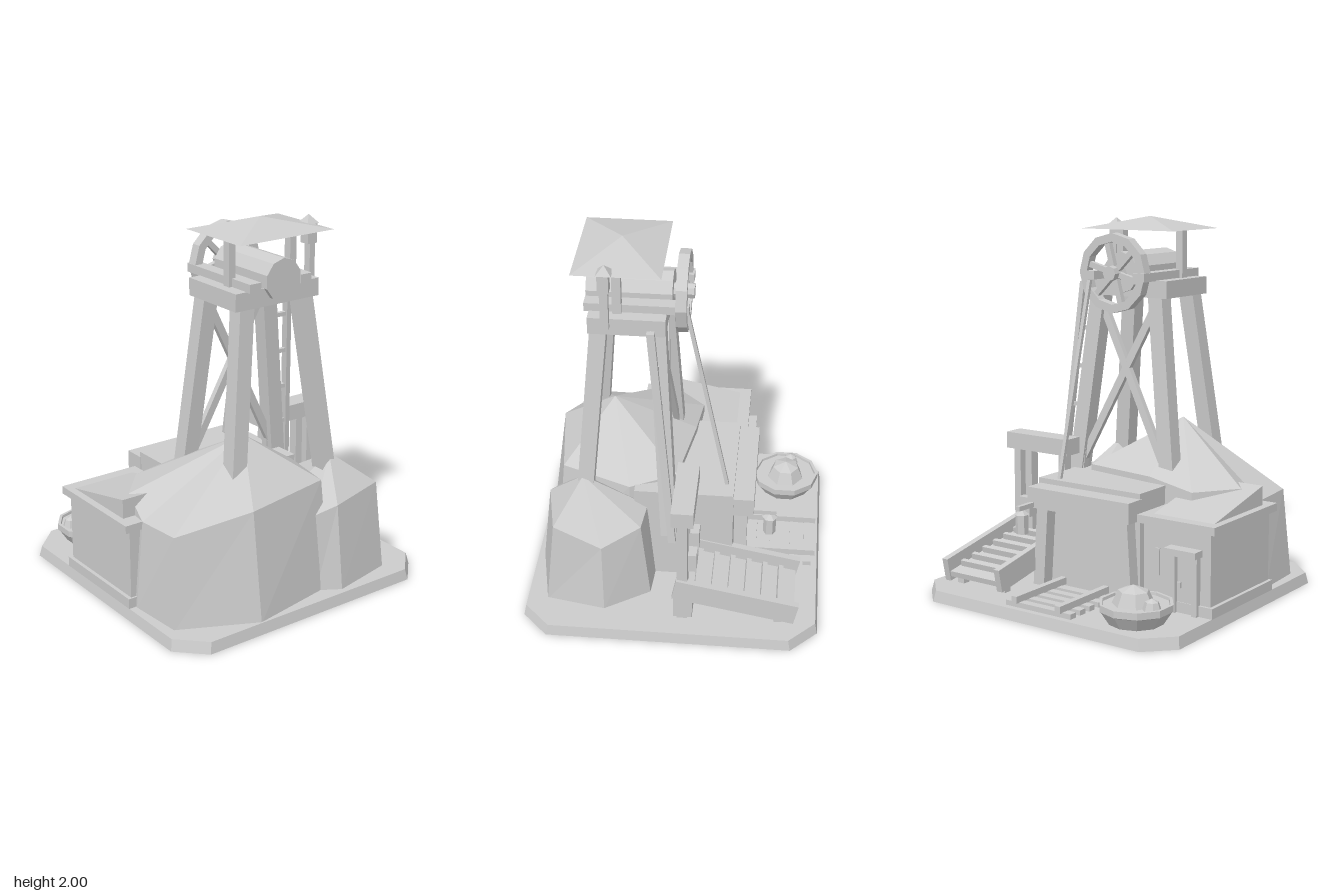
import * as THREE from 'three';

const stone = new THREE.MeshStandardMaterial({ color: 0xcccccc, flatShading: true });
stone.name = 'pale grey';

export function createModel() {
  const root = new THREE.Group();
  root.name = 'mineHeadframe';
  let parent = root;
  const group = (name) => {
    parent = new THREE.Group();
    parent.name = name;
    root.add(parent);
  };
  const add = (name, geo, x = 0, y = 0, z = 0) => {
    const m = new THREE.Mesh(geo, stone);
    m.name = name;
    m.position.set(x, y, z);
    parent.add(m);
    return m;
  };
  // box given by its limits on each axis
  const box = (name, x0, x1, y0, y1, z0, z1) =>
    add(name, new THREE.BoxGeometry(x1 - x0, y1 - y0, z1 - z0), (x0 + x1) / 2, (y0 + y1) / 2, (z0 + z1) / 2);
  // bar between two points; d is measured towards the up direction
  const bar = (name, a, b, w, d = w, up = [0, 1, 0]) => {
    const p = new THREE.Vector3(...a), q = new THREE.Vector3(...b);
    const m = add(name, new THREE.BoxGeometry(w, d, p.distanceTo(q)));
    m.position.copy(p).lerp(q, 0.5);
    m.up.set(...up);
    m.lookAt(q);
    return m;
  };
  // leaning post whose level ends stay square to the axes
  const strut = (name, top, foot, w, d = w) => {
    const g = new THREE.BoxGeometry(w, 2, d);
    const p = g.attributes.position;
    for (let i = 0; i < p.count; i++) {
      const e = p.getY(i) > 0 ? top : foot;
      p.setXYZ(i, p.getX(i) + e[0], e[1], p.getZ(i) + e[2]);
    }
    g.computeVertexNormals();
    return add(name, g);
  };
  // faceted block: bottom ring, upper ring and a peak
  const facetBlock = (name, bottom, ring, peak, floor) => {
    const pos = [];
    const c = [peak[0], floor, peak[2]];
    const n = ring.length;
    for (let i = 0; i < n; i++) {
      const j = (i + 1) % n;
      const b0 = [bottom[i][0], floor, bottom[i][1]], b1 = [bottom[j][0], floor, bottom[j][1]];
      pos.push(...b0, ...b1, ...ring[j], ...b0, ...ring[j], ...ring[i]);
      pos.push(...ring[i], ...ring[j], ...peak, ...b1, ...b0, ...c);
    }
    const g = new THREE.BufferGeometry();
    g.setAttribute('position', new THREE.Float32BufferAttribute(pos, 3));
    g.computeVertexNormals();
    return add(name, g);
  };

  // chamfered base slab
  const oct = (x, z, c) => [[-x, z - c], [-x + c, z], [x - c, z], [x, z - c], [x, c - z], [x - c, -z], [c - x, -z], [-x, c - z]];
  facetBlock('base', oct(0.8, 0.79, 0.14), oct(0.788, 0.778, 0.14).map(([x, z]) => [x, 0.06, z]), [0, 0.06, 0], 0);

  // rocks
  facetBlock('largeRock',
    [[-0.75, 0.27], [-0.73, 0.575], [-0.33, 0.772], [0.2, 0.675], [0.3, 0.25], [0.22, -0.02], [-0.23, -0.1], [-0.52, -0.12], [-0.72, 0.1]],
    [[-0.705, 0.53, 0.27], [-0.695, 0.54, 0.535], [-0.325, 0.637, 0.69], [0.17, 0.655, 0.62], [0.28, 0.62, 0.25], [0.2, 0.66, 0.0], [-0.23, 0.66, -0.07], [-0.505, 0.615, -0.09], [-0.68, 0.622, 0.11]],
    [-0.15, 0.905, 0.375], 0.05);
  facetBlock('smallRock',
    [[0.105, 0.675], [0.225, 0.748], [0.58, 0.672], [0.637, 0.355], [0.485, 0.12], [0.32, 0.11], [0.1, 0.4]],
    [[0.108, 0.478, 0.645], [0.225, 0.522, 0.692], [0.555, 0.545, 0.622], [0.592, 0.447, 0.365], [0.465, 0.5, 0.17], [0.3, 0.52, 0.15], [0.12, 0.5, 0.4]],
    [0.335, 0.725, 0.487], 0.05);

  // headframe legs, braces and platform
  group('headframe');
  const cx = 0.012;
  for (const s of [-1, 1]) {
    strut('frontLeg', [cx + s * 0.183, 1.62, 0.39], [cx + s * 0.315, 0.5, 0.49], 0.087, 0.085);
    strut('backLeg', [cx + s * 0.183, 1.62, 0.097], [cx + s * 0.329, 0.38, 0.03], 0.087, 0.085);
    bar('crossBrace', [cx - s * 0.19, 1.57, 0.09], [cx + s * 0.28, 0.66, 0.04], 0.042, 0.03, [0, 0, 1]);
    bar('drumBearer', [cx + s * 0.16, 1.697, 0.465], [cx + s * 0.16, 1.697, -0.06], 0.07, 0.045);
    box('roofPost', cx + s * 0.193 - 0.02, cx + s * 0.193 + 0.02, 1.67, 1.94, 0.275, 0.32);
  }
  box('platform', -0.25, 0.275, 1.585, 1.677, 0.05, 0.44);
  const roof = add('roof', new THREE.ConeGeometry(Math.SQRT1_2, 1, 4).rotateY(Math.PI / 4), 0.015, 1.967, 0.287);
  roof.scale.set(0.585, 0.066, 0.445);

  // winding drum and wheel
  group('windingGear');
  const wx = 0.028, wy = 1.712, wz = -0.022;
  add('drum', new THREE.CylinderGeometry(0.11, 0.11, 0.435, 10).rotateX(Math.PI / 2), wx, wy, 0.247);
  add('axle', new THREE.CylinderGeometry(0.04, 0.04, 0.16, 8).rotateX(Math.PI / 2), wx, wy, 0.005);
  const rim = [[0.165, -0.028], [0.21, -0.028], [0.21, 0.028], [0.165, 0.028], [0.165, -0.028]].map((p) => new THREE.Vector2(...p));
  add('wheelRim', new THREE.LatheGeometry(rim, 12).rotateX(Math.PI / 2), wx, wy, wz);
  for (let i = 0; i < 6; i++) {
    const a = (i * Math.PI) / 3 + 0.26;
    bar('spoke', [wx, wy, wz], [wx + Math.cos(a) * 0.175, wy + Math.sin(a) * 0.175, wz], 0.03, 0.03, [0, 0, 1]);
  }
  strut('rope', [0.172, 1.67, -0.05], [0.212, 0.6, -0.275], 0.02);

  // ladder beside the back leg
  group('ladder');
  const top = [0.335, 1.645, 0.118], foot = [0.424, 0.38, 0.008];
  const shift = (p, d) => [p[0] + d, p[1], p[2]];
  for (const d of [0, -0.13]) strut('ladderRail', shift(top, d), shift(foot, d), 0.028, 0.04);
  for (let i = 0; i < 6; i++) {
    const p = top.map((v, k) => v + (foot[k] - v) * (0.03 + i * 0.167));
    bar('rung', p, shift(p, -0.13), 0.022);
  }

  // lamp under the roof edge
  group('towerLamp');
  box('lampPole', 0.272, 0.305, 1.63, 1.85, 0.328, 0.37);
  box('lampBody', 0.25, 0.31, 1.84, 1.945, 0.322, 0.378);
  add('lampCap', new THREE.ConeGeometry(0.055, 0.045, 4).rotateY(Math.PI / 4), 0.28, 1.963, 0.345);

  // tunnel mouth
  group('tunnel');
  box('tunnelBody', -0.335, 0.32, 0.06, 0.628, -0.31, 0.22);
  box('lintel', -0.34, 0.31, 0.49, 0.6, -0.42, -0.3);
  for (const s of [-1, 1]) strut('portalPost', [-0.015 + s * 0.255, 0.5, -0.35], [-0.015 + s * 0.285, 0.06, -0.35], 0.07);
  box('lanternArm', 0.268, 0.292, 0.495, 0.52, -0.54, -0.4);
  add('lantern', new THREE.CylinderGeometry(0.034, 0.034, 0.105, 6), 0.28, 0.422, -0.507);
  add('lanternCap', new THREE.ConeGeometry(0.042, 0.03, 6), 0.28, 0.488, -0.507);

  // track
  group('track');
  for (let i = 0; i < 5; i++) box('sleeper', -0.22, 0.195, 0.06, 0.087, -0.745 + i * 0.078, -0.7 + i * 0.078);
  for (const x of [-0.152, 0.125]) box('rail', x - 0.017, x + 0.017, 0.085, 0.122, -0.765, -0.35);

  // hut with sloping roof
  group('hut');
  box('hutWalls', -0.77, -0.37, 0.06, 0.5, -0.325, 0.25);
  box('hutPlinth', -0.79, -0.36, 0.06, 0.115, -0.34, 0.26);
  box('roofSlab', -0.805, -0.345, 0.49, 0.532, -0.35, 0.27);
  const wedge = new THREE.Shape([[-0.185, 0.53], [0.295, 0.53], [-0.185, 0.635]].map((p) => new THREE.Vector2(...p)));
  add('slopingRoof', new THREE.ExtrudeGeometry(wedge, { depth: 0.36, bevelEnabled: false }).rotateY(Math.PI / 2), -0.765, 0, 0);
  for (const x of [-0.695, -0.565]) box('doorPost', x - 0.015, x + 0.015, 0.06, 0.37, -0.36, -0.32);
  box('door', -0.69, -0.57, 0.06, 0.37, -0.335, -0.32);
  box('doorHandle', -0.605, -0.59, 0.19, 0.22, -0.35, -0.33);
  box('doorCanopy', -0.72, -0.535, 0.365, 0.4, -0.393, -0.32);
  box('slitWindow', -0.47, -0.445, 0.23, 0.37, -0.334, -0.325);

  // ore bowl, filled almost to its rim
  group('oreBowl');
  const bowl = [[0, 0.06], [0.14, 0.06], [0.182, 0.125], [0.19, 0.13], [0.19, 0.165], [0.174, 0.165], [0.172, 0.15], [0, 0.15]].map((p) => new THREE.Vector2(...p));
  add('bowl', new THREE.LatheGeometry(bowl, 10), -0.5, 0, -0.58);
  for (const [x, z, r, h] of [[-0.485, -0.58, 0.113, 0.1], [-0.612, -0.607, 0.05, 0.06]]) {
    const lump = add('oreLump', new THREE.SphereGeometry(1, 7, 4), x, 0.148, z);
    lump.scale.set(r, h, r * 0.93);
  }

  // loading ramp
  group('ramp');
  const a = [0.274, -0.025], b = [0.145, -0.672];
  const slope = [0, 0.98, -0.195];
  const at = (t, x, lift = 0) => [x, a[0] + (b[0] - a[0]) * t + lift, a[1] + (b[1] - a[1]) * t];
  for (const x of [0.31, 0.667]) bar('rampSide', at(0, x), at(1, x), 0.036, 0.125);
  bar('rampFloor', at(0.02, 0.488, -0.025), at(0.98, 0.488, -0.025), 0.33, 0.03);
  for (let i = 0; i < 6; i++) {
    const t = 0.18 + i * 0.135;
    bar('rampSlat', at(t, 0.345), at(t, 0.635), 0.026, 0.045, slope);
  }
  for (const x of [0.345, 0.632]) box('rampFoot', x - 0.022, x + 0.022, 0.06, 0.13, -0.6, -0.555);

  // gantry over the ramp
  group('gantry');
  box('gantryBeam', 0.275, 0.695, 0.715, 0.805, -0.128, -0.012);
  for (const x of [0.335, 0.568, 0.647]) box('gantryPost', x - 0.022, x + 0.022, 0.06, 0.72, -0.095, -0.04);
  box('gantryFooting', 0.53, 0.66, 0.06, 0.23, -0.12, -0.02);
  for (const x of [0.39, 0.568]) box('gantryBracket', x - 0.038, x + 0.038, 0.34, 0.45, -0.138, -0.09);
  return root;
}
